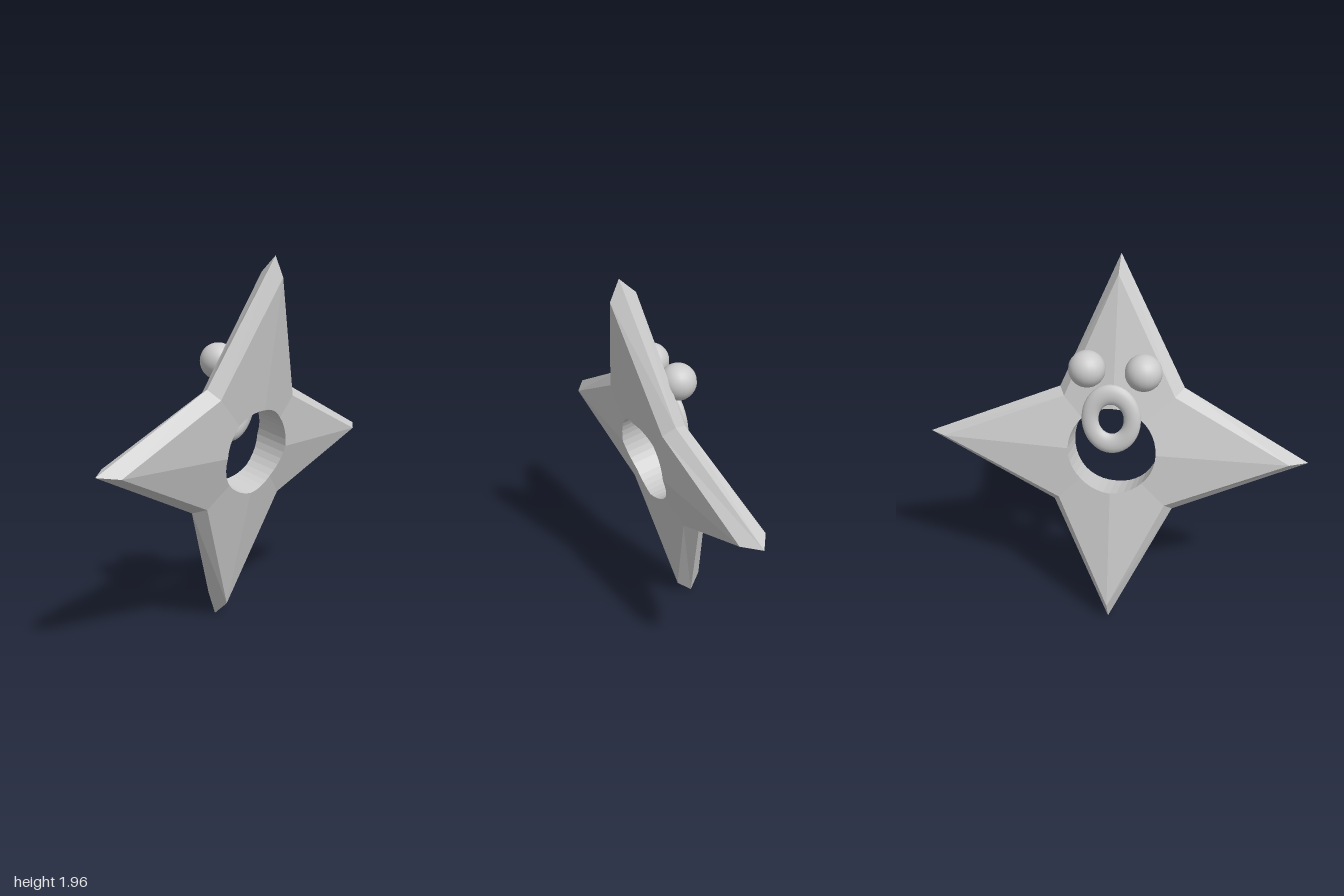
import * as THREE from 'three';

const HOLE = 0.23, CENTRE = 0.112, STEPS = 5;

// Rim of the star, [up, side], going round from the top tip: tip, valley, tip, valley...
const RIM = [
  [1, 0], [0.345, 0.35], [0, 1], [-0.32, 0.32],
  [-1, 0], [-0.325, -0.315], [0, -1], [0.305, -0.295],
];

// Four-pointed blade with bevelled edges, raised ridges and a round centre hole
function bladeGeometry() {
  const out = [];
  const polygon = (pts, flip = false) => {
    for (let k = 1; k < pts.length - 1; k++) {
      const tri = flip ? [pts[0], pts[k + 1], pts[k]] : [pts[0], pts[k], pts[k + 1]];
      tri.forEach((p) => out.push(...p));
    }
  };

  // Edge of the raised face, set in from the rim
  const face = RIM.map(([u, v], i) => {
    const s = i % 2 ? 0.885 : 0.905;
    return [i % 2 ? 0.065 : 0.07, u * s, v * s];
  });
  const mirror = (p) => [-p[0], p[1], p[2]];

  for (let i = 0; i < 8; i++) {
    const j = (i + 1) % 8;
    const A = face[i], B = face[j];
    const a0 = Math.atan2(A[2], A[1]);
    let a1 = Math.atan2(B[2], B[1]);
    if (a1 < a0) a1 += Math.PI * 2;

    // Points where this facet's plane meets the hole
    const det = A[1] * B[2] - A[2] * B[1];
    const arc = [];
    for (let k = 0; k <= STEPS; k++) {
      const a = a0 + ((a1 - a0) * k) / STEPS;
      const u = HOLE * Math.cos(a), v = HOLE * Math.sin(a);
      const s = (u * B[2] - v * B[1]) / det, t = (A[1] * v - A[2] * u) / det;
      arc.push([CENTRE + s * (A[0] - CENTRE) + t * (B[0] - CENTRE), u, v]);
    }

    const inner = [...arc].reverse();
    const facet = i % 2 ? [B, ...inner, A] : [A, B, ...inner];
    const bevel = [[0, ...RIM[i]], [0, ...RIM[j]], B, A];
    for (const pts of [facet, bevel]) {
      polygon(pts);
      polygon(pts.map(mirror), true);
    }
    // Wall of the hole
    for (let k = 0; k < STEPS; k++) {
      polygon([arc[k], arc[k + 1], mirror(arc[k + 1]), mirror(arc[k])]);
    }
  }

  const geo = new THREE.BufferGeometry();
  geo.setAttribute('position', new THREE.Float32BufferAttribute(out, 3));
  geo.computeVertexNormals();
  return geo;
}

export function createModel() {
  const group = new THREE.Group();
  group.name = 'throwingStar';
  const flat = new THREE.MeshStandardMaterial({ color: 0xcccccc, flatShading: true });
  const smooth = new THREE.MeshStandardMaterial({ color: 0xcccccc });

  const add = (name, geo, mat, x, y, z) => {
    const mesh = new THREE.Mesh(geo, mat);
    mesh.name = name;
    mesh.position.set(x, y, z);
    group.add(mesh);
    return mesh;
  };

  // Leaning blade
  add('blade', bladeGeometry(), flat, 0, 0.98, 0).rotation.z = -0.212;

  // Pair of balls on the back of the upper point
  const ball = new THREE.SphereGeometry(0.094, 20, 16);
  add('leftBall', ball, smooth, -0.035, 1.435, 0.153);
  add('rightBall', ball, smooth, -0.035, 1.435, -0.133);

  // Oval ring below the balls
  const ringGeo = new THREE.TorusGeometry(0.109, 0.044, 16, 40);
  ringGeo.rotateY(Math.PI / 2);
  ringGeo.scale(0.66, 1.22, 1);
  add('ring', ringGeo, smooth, -0.07, 1.178, -0.005).rotation.z = -0.12;

  return group;
}
